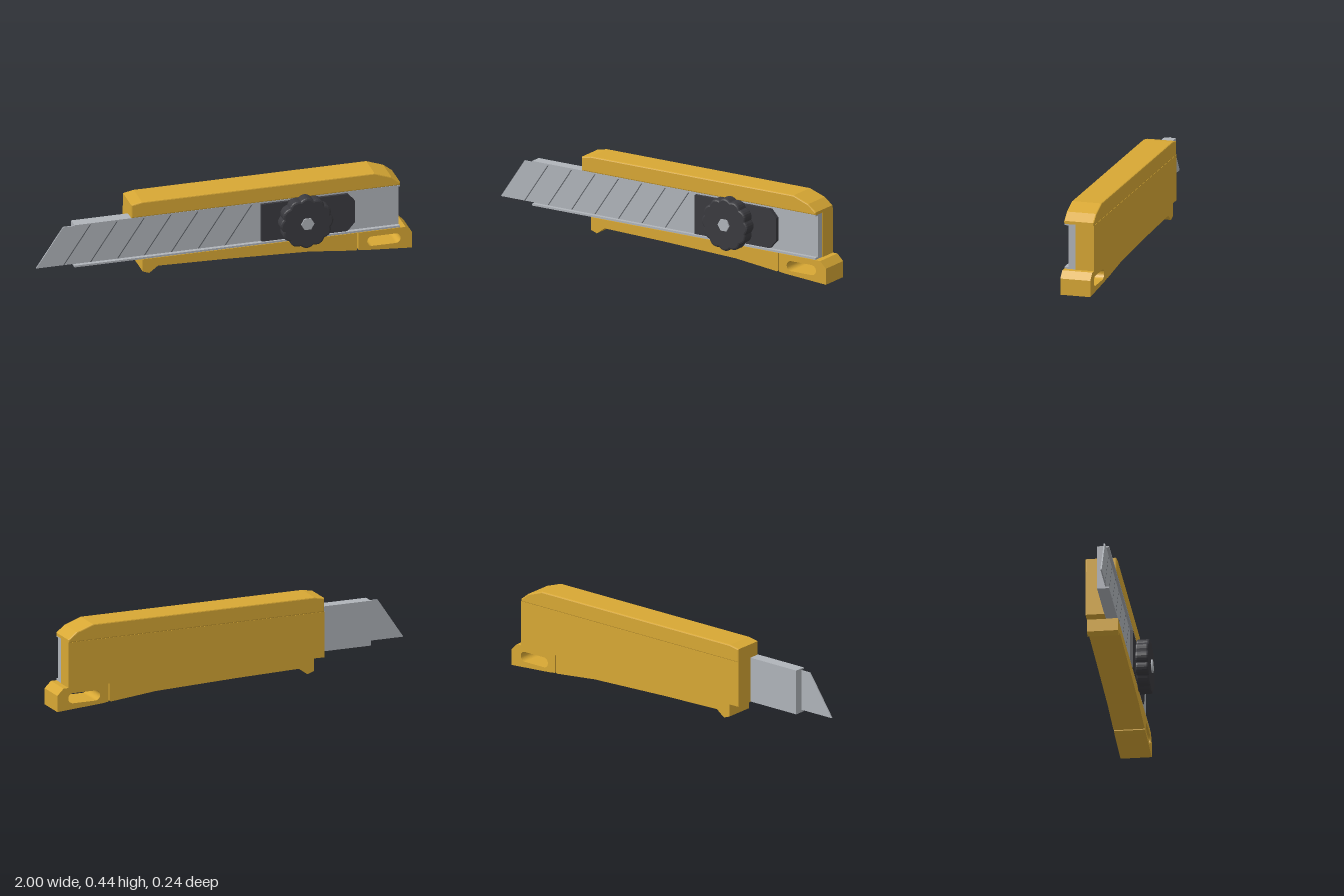
import * as THREE from 'three';

export function createModel() {
  const group = new THREE.Group();
  const mat = (name, color) => {
    const m = new THREE.MeshStandardMaterial({ color });
    m.name = name;
    return m;
  };
  const yellow = mat('yellow plastic', 0xd8a834);
  const steel = mat('steel', 0xb0b4ba);
  const dark = mat('dark plastic', 0x3a3a3f);
  const score = mat('score grey', 0x606469);

  const add = (name, geometry, material) => {
    const mesh = new THREE.Mesh(geometry, material);
    mesh.name = name;
    group.add(mesh);
    return mesh;
  };
  const outline = (pts) => new THREE.Shape(pts.map(([x, y]) => new THREE.Vector2(x, y)));

  // Side profile extruded between two depths, with an optional chamfer
  const slab = (name, shape, z0, z1, material, bevel = 0) => {
    const geometry = new THREE.ExtrudeGeometry(shape, {
      depth: z1 - z0 - 2 * bevel,
      bevelEnabled: bevel > 0,
      bevelThickness: bevel,
      bevelSize: bevel,
      bevelOffset: -bevel,
      bevelSegments: 2,
      curveSegments: 10,
    });
    geometry.translate(0, 0, z0 + bevel);
    return add(name, geometry, material);
  };
  const block = (name, x0, x1, y0, y1, z0, z1, material) => {
    const mesh = add(name, new THREE.BoxGeometry(x1 - x0, y1 - y0, z1 - z0), material);
    mesh.position.set((x0 + x1) / 2, (y0 + y1) / 2, (z0 + z1) / 2);
    return mesh;
  };

  const back = -0.118, front = 0.043;

  // Handle: back wall, top grip, lower grip
  block('handleBack', -0.497, 0.937, 0.12, 0.362, back, -0.02, yellow);
  slab('topGrip', outline([
    [-0.497, 0.36], [0.937, 0.36], [0.937, 0.376], [0.89, 0.413],
    [0.8, 0.445], [-0.44, 0.445], [-0.497, 0.434],
  ]), back, front, yellow, 0.006);
  slab('lowerGrip', outline([
    [-0.437, 0.121], [-0.437, 0.053], [-0.402, 0.04], [-0.355, 0.075],
    [0, 0.066], [0.45, 0.049], [0.7, 0.022], [0.707, 0.026], [0.707, 0.121],
  ]), back, front, yellow);

  // Tail with a hanging slot
  const tail = outline([
    [0.714, 0.121], [0.714, 0.023], [0.75, 0.018], [1, 0], [1, 0.086], [0.965, 0.121],
  ]);
  const slot = new THREE.Path();
  const r = 0.027, sy = 0.064;
  slot.moveTo(0.787, sy + r);
  slot.absarc(0.787, sy, r, Math.PI / 2, Math.PI * 1.5, false);
  slot.absarc(0.912, sy, r, -Math.PI / 2, Math.PI / 2, false);
  tail.holes.push(slot);
  slab('tail', tail, back, front, yellow);

  // Steel channel: floor and two lips
  block('channelFloor', -0.8, 0.935, 0.122, 0.361, -0.021, 0.02, steel);
  block('channelUpperLip', -0.8, 0.935, 0.353, 0.361, 0.02, 0.041, steel);
  block('channelLowerLip', -0.8, 0.935, 0.122, 0.132, 0.02, 0.041, steel);

  // Blade with slanted score lines
  const y0 = 0.136, y1 = 0.35, slant = 0.144;
  slab('blade', outline([[-1, y0], [0.25, y0], [0.25, y1], [-1 + slant, y1]]), 0.02, 0.027, steel);
  for (let i = 1; i <= 7; i++) {
    const x = -1 + i * 0.1435, w = 0.006;
    slab('scoreLine', outline([
      [x, y0], [x + w, y0], [x + slant + w, y1], [x + slant, y1],
    ]), 0.0265, 0.0278, score);
  }

  // Slider with clipped corners
  slab('slider', outline([
    [0.197, 0.138], [0.655, 0.138], [0.695, 0.183], [0.695, 0.304],
    [0.655, 0.347], [0.197, 0.347],
  ]), 0.02, 0.043, dark);

  // Scalloped locking knob and hexagonal bolt
  const cx = 0.422, cy = 0.241;
  const rim = [];
  for (let i = 0; i < 72; i++) {
    const a = (i / 72) * Math.PI * 2;
    const radius = 0.13 + 0.011 * Math.abs(Math.sin(a * 6 + Math.PI / 2));
    rim.push([cx + radius * Math.cos(a), cy + radius * Math.sin(a)]);
  }
  slab('knob', outline(rim), 0.043, 0.112, dark, 0.01);
  const bolt = add('knobBolt', new THREE.CylinderGeometry(0.035, 0.035, 0.03, 6), steel);
  bolt.rotation.set(Math.PI / 2, Math.PI / 6, 0);
  bolt.position.set(cx, cy, 0.105);
  bolt.material = steel;

  return group;
}
